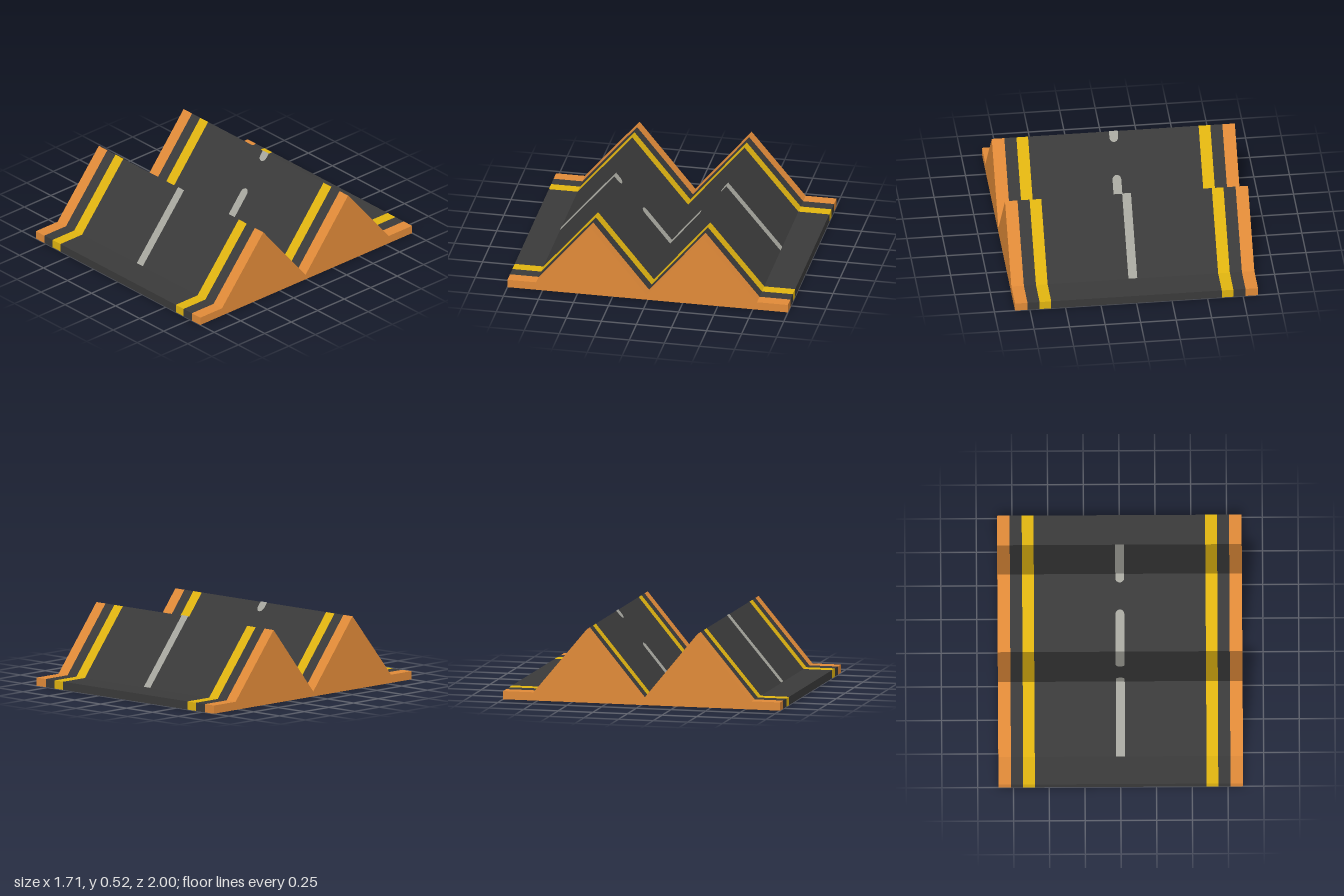
import * as THREE from 'three';

// Upper outline of the ramp from front to back, as [z, y]
const PROFILE = [
  [1, 0], [1, 0.058], [0.795, 0.058], [0.405, 0.52], [0.007, 0.035],
  [-0.395, 0.52], [-0.78, 0.058], [-1, 0.058], [-1, 0],
];
const HALF_WIDTH = 0.855;

// Height of the surface at depth z
function surfaceY(z) {
  for (let i = 1; i < PROFILE.length - 2; i++) {
    const [z0, y0] = PROFILE[i], [z1, y1] = PROFILE[i + 1];
    if (z <= z0 && z >= z1) return y0 + (y1 - y0) * (z0 - z) / (z0 - z1);
  }
  return 0;
}

// Upward-facing ribbon through rows of [z, y, x0, x1], ordered front to back
function ribbon(rows) {
  const pos = [];
  for (let i = 0; i < rows.length - 1; i++) {
    const [za, ya, a0, a1] = rows[i], [zb, yb, b0, b1] = rows[i + 1];
    pos.push(a0, ya, za, a1, ya, za, b1, yb, zb);
    pos.push(a0, ya, za, b1, yb, zb, b0, yb, zb);
  }
  const g = new THREE.BufferGeometry();
  g.setAttribute('position', new THREE.Float32BufferAttribute(pos, 3));
  g.computeVertexNormals();
  return g;
}

// Centre dash draped over the surface, with optional rounded ends
function dash(zFront, zBack, roundFront, roundBack) {
  const half = 0.031, cap = 0.022, steps = 5, rows = [];
  const add = (z, w) => rows.push([z, surfaceY(z) + 0.003, -w, w]);
  for (let i = 0; i <= steps && roundFront; i++) {
    const t = i / steps * Math.PI / 2;
    add(zFront - cap * (1 - Math.cos(t)), half * Math.sin(t));
  }
  if (!roundFront) add(zFront, half);
  for (const [z] of PROFILE) if (z < zFront - cap && z > zBack + cap) add(z, half);
  for (let i = steps; i >= 0 && roundBack; i--) {
    const t = i / steps * Math.PI / 2;
    add(zBack + cap * (1 - Math.cos(t)), half * Math.sin(t));
  }
  if (!roundBack) add(zBack, half);
  return ribbon(rows);
}

export function createModel() {
  const material = (name, color) => {
    const m = new THREE.MeshStandardMaterial({ color });
    m.name = name;
    return m;
  };
  const orange = material('orange', 0xe08a38);
  const asphalt = material('asphalt', 0x3a3a3a);
  const yellow = material('yellow', 0xe0b410);
  const grey = material('paleGrey', 0xa6a69e);

  const model = new THREE.Group();
  model.name = 'doubleRamp';
  const add = (name, geometry, mat) => {
    const mesh = new THREE.Mesh(geometry, mat);
    mesh.name = name;
    model.add(mesh);
  };
  const lane = (name, x0, x1, mat) =>
    add(name, ribbon(PROFILE.map(([z, y]) => [z, y, x0, x1])), mat);

  // Road surface, split across its width
  lane('roadCentre', -0.6, 0.6, asphalt);
  for (const [side, s] of [['left', 1], ['right', -1]]) {
    const band = (name, a, b, mat) =>
      lane(side + name, Math.min(a * s, b * s), Math.max(a * s, b * s), mat);
    band('YellowLine', 0.6, 0.682, yellow);
    band('RoadShoulder', 0.682, 0.767, asphalt);
    band('Kerb', 0.767, HALF_WIDTH, orange);

    // Side wall
    const wall = new THREE.ShapeGeometry(
      new THREE.Shape(PROFILE.map(([z, y]) => new THREE.Vector2(-s * z, y))));
    wall.rotateY(s * Math.PI / 2).translate(s * HALF_WIDTH, 0, 0);
    add(side + 'Wall', wall, orange);
  }

  // Underside
  add('underside', new THREE.PlaneGeometry(2 * HALF_WIDTH, 2).rotateX(Math.PI / 2), orange);

  // Painted centre line
  add('frontDash', dash(0.795, 0.355, false, true), grey);
  add('middleDash', dash(0.208, -0.21, true, true), grey);
  add('backDash', dash(-0.35, -0.78, true, false), grey);

  return model;
}
